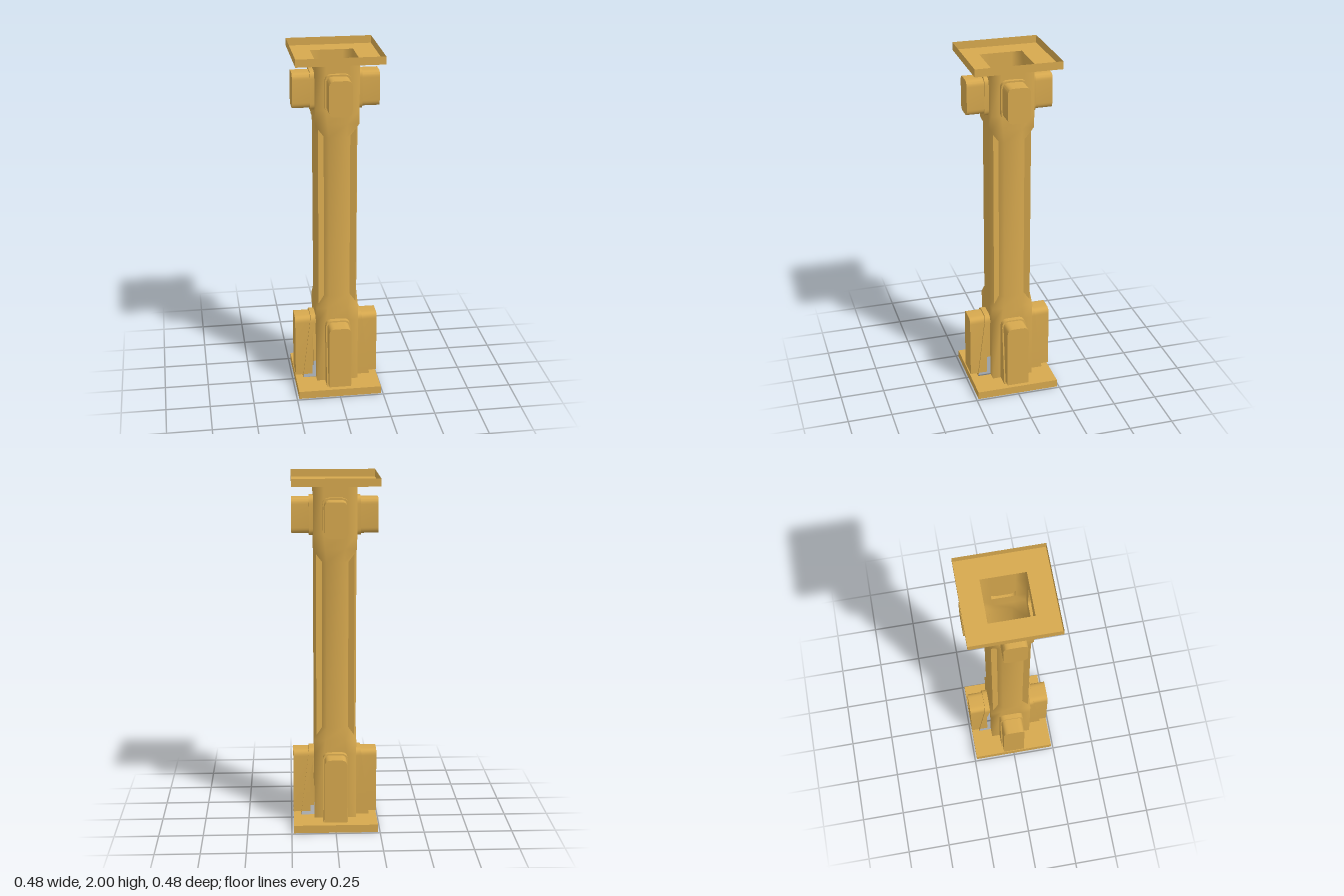
import * as THREE from 'three';
import { mergeVertices, toCreasedNormals } from 'three/addons/utils/BufferGeometryUtils.js';

const material = new THREE.MeshStandardMaterial({ color: 0xd6a84e, side: THREE.DoubleSide });
const S = 0.119; // half width of the shaft
const P = 0.238; // half width of the end plates

function part(name, geometry) {
  const mesh = new THREE.Mesh(geometry, material);
  mesh.name = name;
  return mesh;
}

function buffer(positions, index) {
  const g = new THREE.BufferGeometry();
  g.setAttribute('position', new THREE.Float32BufferAttribute(positions, 3));
  g.setIndex(index);
  return g;
}

// Hollow shaft: 12-sided rings, square at the ends and chamfered in between,
// with an open window in each side behind the blocks.
function shaftGeometry() {
  // height, half width of flat side, corner position, window above this ring
  const rings = [
    [0.045, 0.063, S, true], [0.425, 0.063, S, false], [0.51, 0.055, S, false],
    [0.585, 0.048, 0.0835, false], [1.53, 0.048, 0.0835, false], [1.605, 0.055, S, false],
    [1.685, 0.063, S, true], [1.87, 0.063, S, false], [1.957, 0.063, S, false],
  ];
  const pos = [], idx = [];
  rings.forEach(([y, a, c, open], r) => {
    for (let q = 0; q < 4; q++) {
      const cs = Math.round(Math.cos(q * Math.PI / 2)), sn = Math.round(Math.sin(q * Math.PI / 2));
      for (const [x, z] of [[S, -a], [S, a], [c, c]]) pos.push(x * cs - z * sn, y, x * sn + z * cs);
    }
    if (r === rings.length - 1) return;
    for (let i = 0; i < 12; i++) {
      if (open && i % 3 === 0) continue;
      const j = (i + 1) % 12, b = r * 12;
      idx.push(b + i, b + 12 + i, b + j, b + j, b + 12 + i, b + 12 + j);
    }
  });
  const g = buffer(pos, idx);
  g.computeVertexNormals();
  return g;
}

// Upright panel with rounded corners, extruded from z0 to z1
function panelGeometry(w, y0, y1, rTop, rBottom, z0, z1) {
  const s = new THREE.Shape();
  s.moveTo(-w + rBottom, y0);
  s.lineTo(w - rBottom, y0);
  if (rBottom) s.quadraticCurveTo(w, y0, w, y0 + rBottom);
  s.lineTo(w, y1 - rTop);
  s.quadraticCurveTo(w, y1, w - rTop, y1);
  s.lineTo(-w + rTop, y1);
  s.quadraticCurveTo(-w, y1, -w, y1 - rTop);
  s.lineTo(-w, y0 + rBottom);
  if (rBottom) s.quadraticCurveTo(-w, y0, -w + rBottom, y0);
  const g = new THREE.ExtrudeGeometry(s, { depth: z1 - z0, bevelEnabled: false, curveSegments: 6 });
  return g.translate(0, 0, z0);
}

// Removes the triangles whose three corners all pass the test
function openUp(g, test) {
  const p = g.attributes.position, out = [];
  for (let i = 0; i < p.count; i += 3) {
    const tri = [0, 1, 2].map(k => [p.getX(i + k), p.getY(i + k), p.getZ(i + k)]);
    if (!tri.every(test)) out.push(...tri.flat());
  }
  const r = new THREE.BufferGeometry();
  r.setAttribute('position', new THREE.Float32BufferAttribute(out, 3));
  return r;
}

const creased = g => toCreasedNormals(mergeVertices(g.deleteAttribute('uv').deleteAttribute('normal')), 0.6);

// Square tray with thin walls and a hole in its floor
function plate(name, floorY, edgeY, hole) {
  const group = new THREE.Group();
  group.name = name;
  const s = new THREE.Shape([[-P, -P], [P, -P], [P, P], [-P, P]].map(p => new THREE.Vector2(...p)));
  s.holes.push(new THREE.Path(hole.map(p => new THREE.Vector2(...p))));
  const floor = part(name + 'Floor', new THREE.ShapeGeometry(s));
  floor.rotation.x = -Math.PI / 2;
  floor.position.y = floorY;
  group.add(floor);
  for (let i = 0; i < 4; i++) {
    const wall = part(name + 'Wall', new THREE.PlaneGeometry(2 * P, Math.abs(edgeY - floorY)).translate(0, 0, P));
    wall.rotation.y = i * Math.PI / 2;
    wall.position.y = (floorY + edgeY) / 2;
    group.add(wall);
  }
  return group;
}

export function createModel() {
  const model = new THREE.Group();
  model.name = 'column';
  model.add(part('shaft', shaftGeometry()));

  // End plates; the lower one has a cross-shaped hole under the hollow collars
  const quarter = [[0.193, -0.07], [0.193, 0.07], [S, 0.07], [S, S], [0.07, S]];
  const cross = [];
  for (let q = 0; q < 4; q++) {
    const v = new THREE.Vector2(), o = new THREE.Vector2();
    for (const p of quarter) {
      v.set(...p).rotateAround(o, q * Math.PI / 2);
      cross.push([v.x, v.y]);
    }
  }
  model.add(plate('topPlate', 1.957, 2, [[-S, -S], [S, -S], [S, S], [-S, S]]));
  model.add(plate('basePlate', 0.045, 0, cross));

  // Collars, open towards the shaft; the lower ones flare out downwards
  const upperCollar = creased(openUp(panelGeometry(0.071, 1.67, 1.885, 0.04, 0.04, 0.119, 0.142), v => v[2] < 0.12));
  const lower = panelGeometry(0.071, 0.045, 0.44, 0.04, 0, 0.119, 0.148);
  const lp = lower.attributes.position;
  for (let i = 0; i < lp.count; i++) {
    if (lp.getZ(i) > 0.14) lp.setZ(i, 0.148 + (0.44 - lp.getY(i)) * 0.12);
  }
  const lowerCollar = creased(openUp(lower, v => v[2] < 0.12 || v[1] < 0.046));
  const upperBlock = creased(panelGeometry(0.063, 1.68, 1.876, 0.035, 0.035, 0.135, P));
  const lowerBlock = creased(panelGeometry(0.063, 0.062, 0.432, 0.035, 0, 0.14, P));

  // Corner ridge on the chamfer, its ends running into the tapers
  const k = 0.106, a = 0.073, b = 0.094;
  const ridge = buffer([
    k, 0.54, k, k, 1.577, k, a, 0.583, b, a, 1.532, b, b, 0.583, a, b, 1.532, a,
  ], [0, 3, 2, 0, 1, 3, 0, 4, 5, 0, 5, 1]).toNonIndexed();
  ridge.computeVertexNormals();

  for (let i = 0; i < 4; i++) {
    const side = new THREE.Group();
    side.name = 'side' + (i + 1);
    side.rotation.y = i * Math.PI / 2;
    side.add(
      part('upperCollar', upperCollar), part('upperBlock', upperBlock),
      part('lowerCollar', lowerCollar), part('lowerBlock', lowerBlock),
      part('cornerRidge', ridge),
    );
    model.add(side);
  }
  return model;
}
